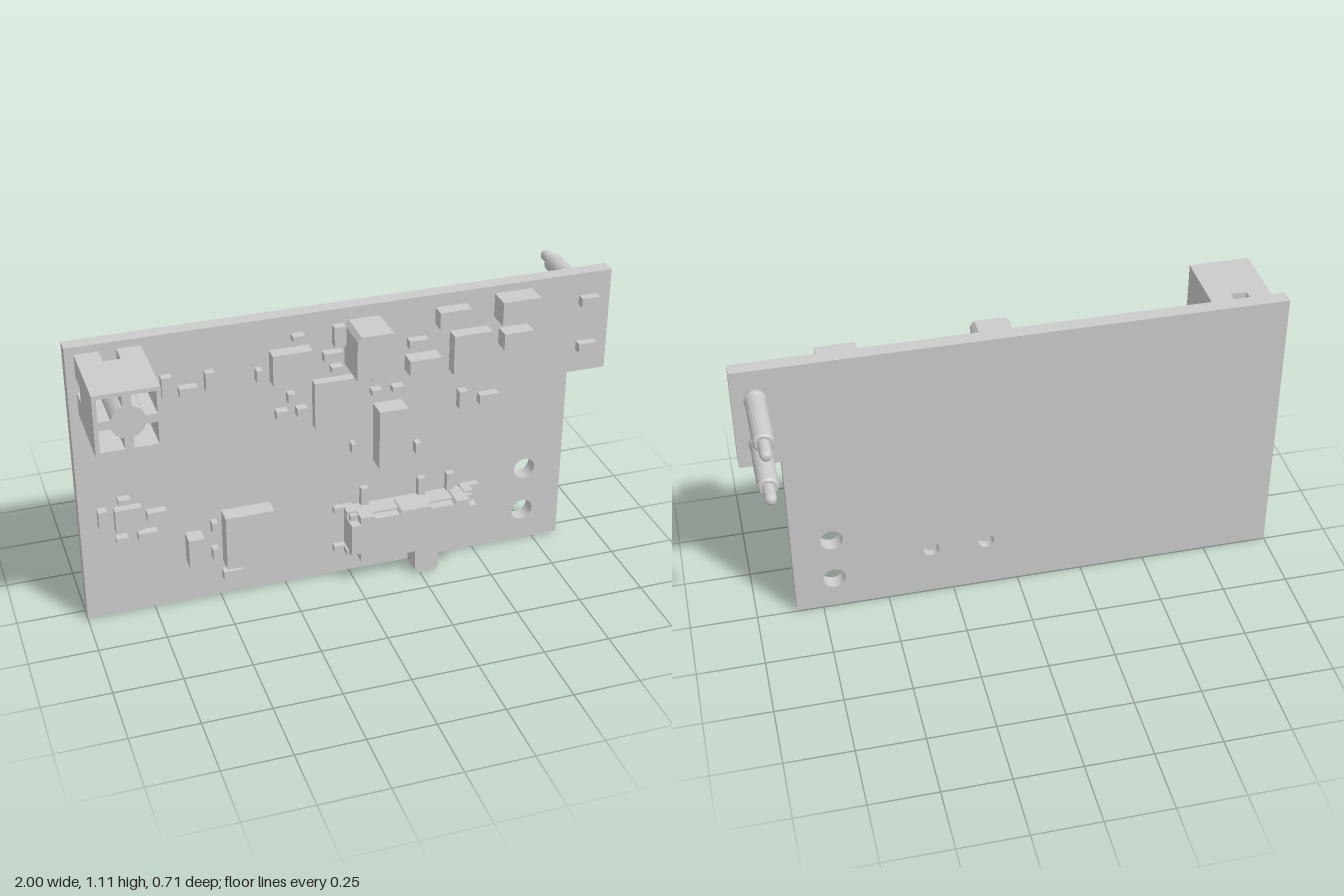
import * as THREE from 'three';

const FACE = 0.055; // front face of the board
const grey = new THREE.MeshStandardMaterial({ color: 0xcccccc });
const faceted = new THREE.MeshStandardMaterial({ color: 0xcccccc, flatShading: true });

function add(parent, name, geometry, material = faceted) {
  const mesh = new THREE.Mesh(geometry, material);
  mesh.name = name;
  parent.add(mesh);
  return mesh;
}

// box from its minimum to maximum corner
function box(parent, name, x0, x1, y0, y1, z0, z1) {
  const mesh = add(parent, name, new THREE.BoxGeometry(x1 - x0, y1 - y0, z1 - z0));
  mesh.position.set((x0 + x1) / 2, (y0 + y1) / 2, (z0 + z1) / 2);
  return mesh;
}

function polygon(points) {
  return new THREE.Shape(points.map(([x, y]) => new THREE.Vector2(x, y)));
}

function extrude(parent, name, shape, z0, z1, material = faceted) {
  const geometry = new THREE.ExtrudeGeometry(shape, { depth: z1 - z0, bevelEnabled: false, curveSegments: 12 });
  geometry.translate(0, 0, z0);
  return add(parent, name, geometry, material);
}

// rows of [centre x, centre y, width, height], all rising to z = top
function chips(parent, name, top, rows) {
  for (const [x, y, w, h] of rows) {
    box(parent, name, x - w / 2, x + w / 2, y - h / 2, y + h / 2, FACE, top);
  }
}

function circuitBoard(root) {
  const shape = polygon([[-1, 0.005], [0.85, 0.005], [0.85, 0.71], [1, 0.71], [1, 1.11], [-1, 1.11]]);
  for (const [x, y, r] of [[0.7, 0.32, 0.042], [0.7, 0.135, 0.042], [0.12, 0.205, 0.03], [0.33, 0.205, 0.03]]) {
    shape.holes.push(new THREE.Path().absarc(x, y, r, 0, Math.PI * 2, true));
  }
  extrude(root, 'circuitBoard', shape, 0, FACE);
}

// square socket: pocketed front, solid middle, slotted foot
function socket(root) {
  const group = new THREE.Group();
  group.name = 'socket';
  group.position.set(-0.854, 0.968, 0);
  root.add(group);
  const s = 0.114, inner = 0.099, rib = 0.016, hub = 0.06;
  const shape = polygon([[-s, -s], [s, -s], [s, s], [-s, s]]);
  const a = Math.asin(rib / hub), reach = hub * Math.cos(a);
  for (const sx of [-1, 1]) for (const sy of [-1, 1]) {
    const points = [[rib, inner], [inner, inner], [inner, rib]];
    for (let i = 0; i <= 6; i++) {
      const t = a + (Math.PI / 2 - 2 * a) * i / 6;
      points.push([hub * Math.cos(t), hub * Math.sin(t)]);
    }
    shape.holes.push(new THREE.Path(points.map(([x, y]) => new THREE.Vector2(x * sx, y * sy))));
    box(group, 'socketFoot', ...(sx > 0 ? [0.03, s] : [-s, -0.03]), ...(sy > 0 ? [0.03, s] : [-s, -0.03]), FACE, 0.13);
  }
  extrude(group, 'socketFront', shape, 0.2, 0.355);
  box(group, 'socketMiddle', -s, s, -s, s, 0.13, 0.2);
  box(group, 'socketCore', -reach, reach, -reach, reach, FACE, 0.13);
}

function slideSwitch(root) {
  const group = new THREE.Group();
  group.name = 'slideSwitch';
  root.add(group);
  // metal cover with small cut-outs along its long edges
  const cover = polygon([
    [0.01, 0.11], [0.06, 0.11], [0.07, 0.122], [0.16, 0.122], [0.17, 0.11], [0.28, 0.11], [0.29, 0.122],
    [0.375, 0.122], [0.385, 0.11], [0.435, 0.11], [0.435, 0.145], [0.465, 0.145], [0.465, 0.27], [0.435, 0.27],
    [0.435, 0.3], [0.385, 0.3], [0.375, 0.288], [0.29, 0.288], [0.28, 0.3], [0.17, 0.3], [0.16, 0.288],
    [0.07, 0.288], [0.06, 0.3], [0.01, 0.3], [0.01, 0.27], [-0.025, 0.27], [-0.025, 0.145], [0.01, 0.145]]);
  extrude(group, 'switchCover', cover, 0.075, 0.165);
  box(group, 'switchBase', -0.02, 0.46, 0.12, 0.295, FACE, 0.13);
  for (const y of [0.123, 0.292]) {
    for (const [x0, x1] of [[-0.065, -0.02], [0.46, 0.505]]) {
      box(group, 'switchFoot', x0, x1, y - 0.013, y + 0.013, FACE, 0.08);
    }
    for (const x of [-0.01, 0.45]) box(group, 'switchCorner', x - 0.018, x + 0.018, y - 0.012, y + 0.012, FACE, 0.115);
  }
  for (const x of [0.053, 0.277, 0.39]) box(group, 'switchPin', x - 0.014, x + 0.014, 0.28, 0.37, FACE, 0.08);
  // sliding knob with clipped lower corners
  const knob = polygon([[0.23, 0.13], [0.23, 0.015], [0.245, 0], [0.307, 0], [0.322, 0.015], [0.322, 0.13]]);
  extrude(group, 'switchKnob', knob, 0.07, 0.15);
  // locating pegs in the board
  for (const x of [0.12, 0.33]) {
    const peg = add(group, 'switchPeg', new THREE.CylinderGeometry(0.026, 0.026, 0.03, 20).rotateX(Math.PI / 2));
    peg.position.set(x, 0.205, 0.042);
  }
}

// spring pins behind the board
function springPins(root) {
  const profile = [[0, 0], [0.03, 0], [0.034, -0.006], [0.039, -0.022], [0.039, -0.03], [0.036, -0.036], [0.036, -0.1],
    [0.037, -0.105], [0.037, -0.268], [0.031, -0.275], [0.021, -0.275], [0.021, -0.337], [0.017, -0.348],
    [0.009, -0.354], [0, -0.355]].map(([r, z]) => new THREE.Vector2(r, z)).reverse();
  for (const y of [1.005, 0.82]) {
    const pin = add(root, 'springPin', new THREE.LatheGeometry(profile, 20).rotateX(Math.PI / 2));
    pin.position.set(0.92, y, 0);
  }
}

export function createModel() {
  const root = new THREE.Group();
  root.name = 'circuitBoardAssembly';
  circuitBoard(root);
  socket(root);
  slideSwitch(root);
  springPins(root);

  chips(root, 'smallComponent', 0.087, [
    [-0.665, 0.92, 0.037, 0.075], [-0.59, 0.89, 0.064, 0.032], [-0.513, 0.917, 0.032, 0.07],
    [-0.337, 0.907, 0.021, 0.048], [-0.193, 1.032, 0.043, 0.021], [-0.222, 0.8, 0.027, 0.037],
    [-0.257, 0.738, 0.043, 0.032], [-0.184, 0.738, 0.037, 0.032], [-0.067, 0.94, 0.07, 0.032],
    [-0.053, 0.888, 0.043, 0.021], [-0.043, 1.016, 0.043, 0.075], [0.11, 0.834, 0.07, 0.032],
    [0.094, 0.77, 0.037, 0.021], [0.176, 0.77, 0.043, 0.021], [0.25, 0.94, 0.07, 0.032],
    [0.428, 0.682, 0.032, 0.07], [0.53, 0.67, 0.075, 0.037], [0.008, 0.553, 0.016, 0.037],
    [0.257, 0.508, 0.021, 0.043], [0.912, 1.005, 0.07, 0.034], [0.912, 0.82, 0.07, 0.034],
    [-0.92, 0.43, 0.032, 0.07], [-0.84, 0.49, 0.043, 0.021], [-0.829, 0.412, 0.096, 0.096],
    [-0.727, 0.412, 0.07, 0.032], [-0.856, 0.334, 0.043, 0.018], [-0.763, 0.332, 0.07, 0.032],
    [-0.519, 0.316, 0.021, 0.043], [-0.519, 0.203, 0.021, 0.043], [-0.455, 0.099, 0.075, 0.037]]);
  chips(root, 'flatChip', 0.09, [[-0.051, 0.755, 0.176, 0.182]]);
  chips(root, 'mediumChip', 0.105, [
    [-0.222, 0.93, 0.144, 0.118], [0.45, 0.88, 0.144, 0.155], [0.38, 1.027, 0.118, 0.064]]);
  chips(root, 'capacitor', 0.115, [
    [0.267, 0.861, 0.118, 0.059], [0.623, 0.909, 0.112, 0.064], [-0.595, 0.241, 0.059, 0.118]]);
  chips(root, 'largeChip', 0.12, [[-0.396, 0.26, 0.182, 0.219]]);
  chips(root, 'tallChip', 0.13, [[0.144, 0.594, 0.107, 0.235]]);
  chips(root, 'inductor', 0.138, [[0.618, 1.035, 0.144, 0.091]]);

  // tallest capacitor, with its front top corners clipped
  const block = polygon([[-0.018, 0.893], [0.125, 0.893], [0.125, 1.045], [0.11, 1.062], [-0.003, 1.062], [-0.018, 1.045]]);
  extrude(root, 'tallCapacitor', block, FACE, 0.2);
  return root;
}
